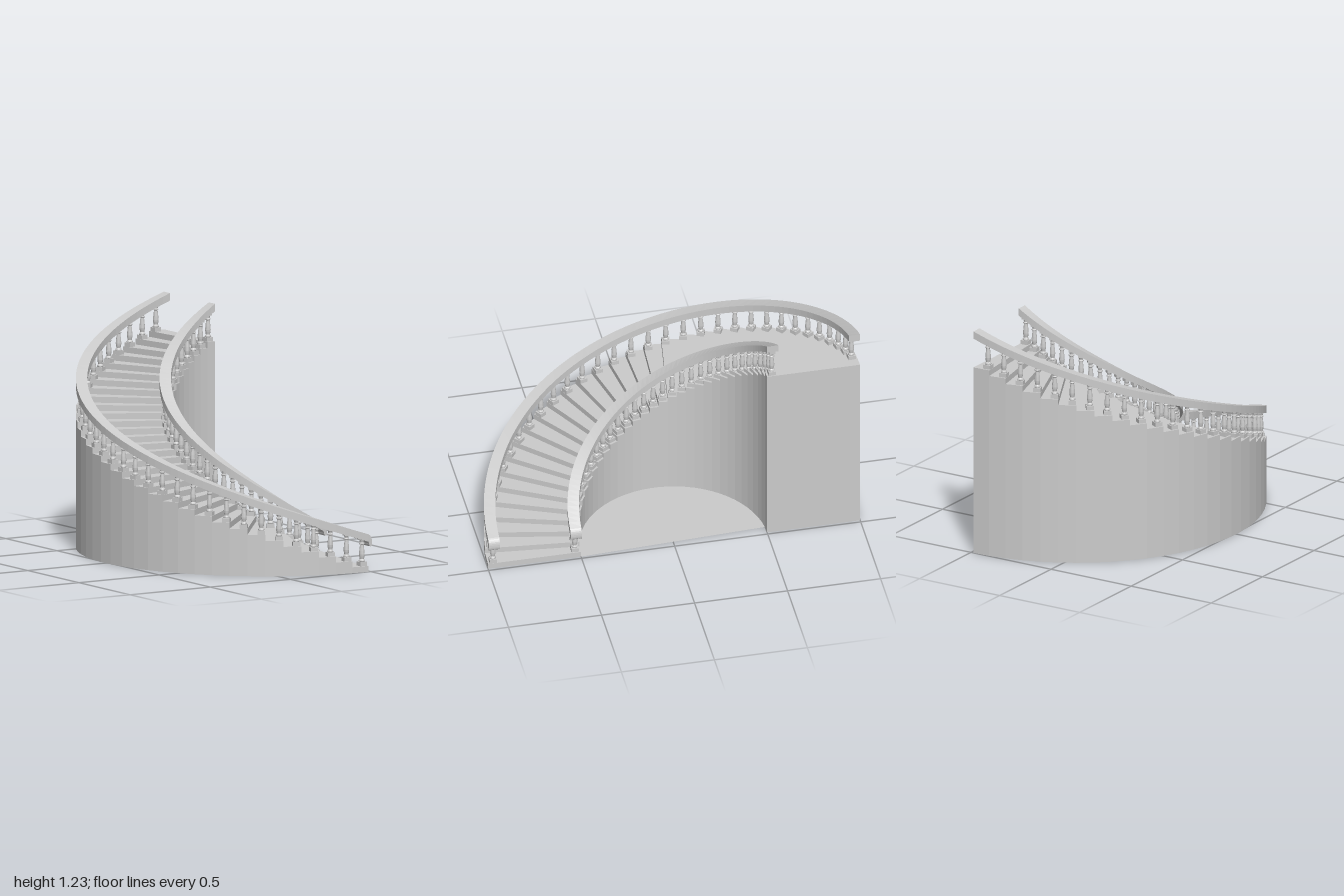
import * as THREE from 'three';
import { mergeGeometries } from 'three/addons/utils/BufferGeometryUtils.js';

const STEPS = 33, A = Math.PI / STEPS, TOP = 1.032, H = TOP / STEPS;
const CX = 0.485, R_IN = 0.5, R_OUT = 1, RAIL_W = 0.06, RAIL_T = 0.04, RAIL_Y = 0.2;

const grey = new THREE.MeshStandardMaterial({ color: 0xcccccc, flatShading: true });
const greyDouble = new THREE.MeshStandardMaterial({ color: 0xcccccc, side: THREE.DoubleSide });

// Point at radius r, sweep angle t (0 = front end, PI = back end) and height y
const p = (r, t, y) => [CX - r * Math.sin(t), y, r * Math.cos(t)];

// Collects four-cornered faces (counter-clockwise from outside)
function quadBuilder() {
  const pos = [];
  return {
    quad(a, b, c, d) { pos.push(...a, ...b, ...c, ...a, ...c, ...d); },
    build() {
      const g = new THREE.BufferGeometry();
      g.setAttribute('position', new THREE.Float32BufferAttribute(pos, 3));
      g.computeVertexNormals();
      return g;
    },
  };
}

function named(name, geometry, material = grey) {
  const m = new THREE.Mesh(geometry, material);
  m.name = name;
  return m;
}

// Solid curved flight: treads, risers, side walls and end wall
function makeSteps() {
  const q = quadBuilder();
  for (let i = 0; i < STEPS; i++) {
    const t0 = i * A, t1 = t0 + A, y0 = i * H, y = y0 + H;
    q.quad(p(R_IN, t0, y), p(R_IN, t1, y), p(R_OUT, t1, y), p(R_OUT, t0, y));
    q.quad(p(R_OUT, t0, y0), p(R_IN, t0, y0), p(R_IN, t0, y), p(R_OUT, t0, y));
    q.quad(p(R_OUT, t1, 0), p(R_OUT, t0, 0), p(R_OUT, t0, y), p(R_OUT, t1, y));
    q.quad(p(R_IN, t0, 0), p(R_IN, t1, 0), p(R_IN, t1, y), p(R_IN, t0, y));
  }
  const e = Math.PI;
  q.quad(p(R_IN, e, 0), p(R_OUT, e, 0), p(R_OUT, e, TOP), p(R_IN, e, TOP));
  return q.build();
}

// Thin base plate spanning the flight and the space inside it
function makeFloor() {
  const pts = [];
  const add = (r, t) => { const [x, , z] = p(r, t, 0); pts.push(new THREE.Vector2(x, z)); };
  for (let i = 0; i <= STEPS; i++) add(R_OUT, i * A);
  add(R_IN, Math.PI);
  add(R_IN, Math.PI - A);
  add(R_IN, 0);
  return new THREE.ShapeGeometry(new THREE.Shape(pts)).rotateX(Math.PI / 2);
}

// Climbing handrail with a rectangular section
function makeRail(r0) {
  const q = quadBuilder(), n = STEPS * 2, r1 = r0 + RAIL_W;
  const corners = (i) => {
    const t = (i / n) * Math.PI, y = RAIL_Y + (TOP * i) / n, b = y - RAIL_T;
    return { ib: p(r0, t, b), ob: p(r1, t, b), it: p(r0, t, y), ot: p(r1, t, y) };
  };
  for (let i = 0; i < n; i++) {
    const a = corners(i), c = corners(i + 1);
    q.quad(a.it, c.it, c.ot, a.ot);
    q.quad(a.ib, a.ob, c.ob, c.ib);
    q.quad(c.ob, a.ob, a.ot, c.ot);
    q.quad(a.ib, c.ib, c.it, a.it);
  }
  const s = corners(0), e = corners(n);
  q.quad(s.ob, s.ib, s.it, s.ot);
  q.quad(e.ib, e.ob, e.ot, e.it);
  return q.build();
}

// Rounded end of the handrail, curling down past the first step
function makeCurl(r0) {
  const s = new THREE.Shape();
  s.moveTo(CX, RAIL_Y);
  s.quadraticCurveTo(CX + 0.023, RAIL_Y - 0.01, CX + 0.024, 0.155);
  s.quadraticCurveTo(CX + 0.024, 0.134, CX + 0.014, 0.134);
  s.quadraticCurveTo(CX + 0.006, 0.136, CX + 0.005, 0.15);
  s.lineTo(CX, RAIL_Y - RAIL_T);
  const g = new THREE.ExtrudeGeometry(s, { depth: RAIL_W, bevelEnabled: false, curveSegments: 6 });
  return g.translate(0, 0, r0);
}

// Turned baluster: square plinth, vase-shaped shaft and square cap
function makeBaluster() {
  const profile = [
    [0.015, 0.02], [0.017, 0.026], [0.015, 0.032], [0.011, 0.036], [0.014, 0.05], [0.015, 0.06],
    [0.0135, 0.08], [0.0105, 0.105], [0.01, 0.112], [0.0145, 0.115], [0.0145, 0.12],
    [0.0105, 0.123], [0.0115, 0.13], [0.015, 0.138],
  ].map(([r, y]) => new THREE.Vector2(r, y));
  return mergeGeometries([
    new THREE.BoxGeometry(0.04, 0.022, 0.04).translate(0, 0.011, 0),
    new THREE.LatheGeometry(profile, 12),
    new THREE.BoxGeometry(0.032, 0.02, 0.032).translate(0, 0.146, 0),
  ]);
}

export function createModel() {
  const model = new THREE.Group();
  model.name = 'curvedStaircase';
  model.add(named('steps', makeSteps()), named('floor', makeFloor(), greyDouble));

  const baluster = makeBaluster();
  // Inner and outer balustrades; along = place of the baluster on its tread
  for (const { side, r0, along } of [
    { side: 'inner', r0: R_IN, along: 0.5 },
    { side: 'outer', r0: R_OUT - RAIL_W, along: 0.23 },
  ]) {
    const group = new THREE.Group();
    group.name = side + 'Balustrade';
    group.add(named(side + 'Handrail', makeRail(r0)), named(side + 'HandrailEnd', makeCurl(r0)));
    for (let i = 0; i < STEPS; i++) {
      const t = (i + along) * A;
      const b = named(side + 'Baluster', baluster);
      b.position.set(...p(r0 + RAIL_W / 2, t, (i + 1) * H));
      b.rotation.y = -t;
      group.add(b);
    }
    model.add(group);
  }
  return model;
}
